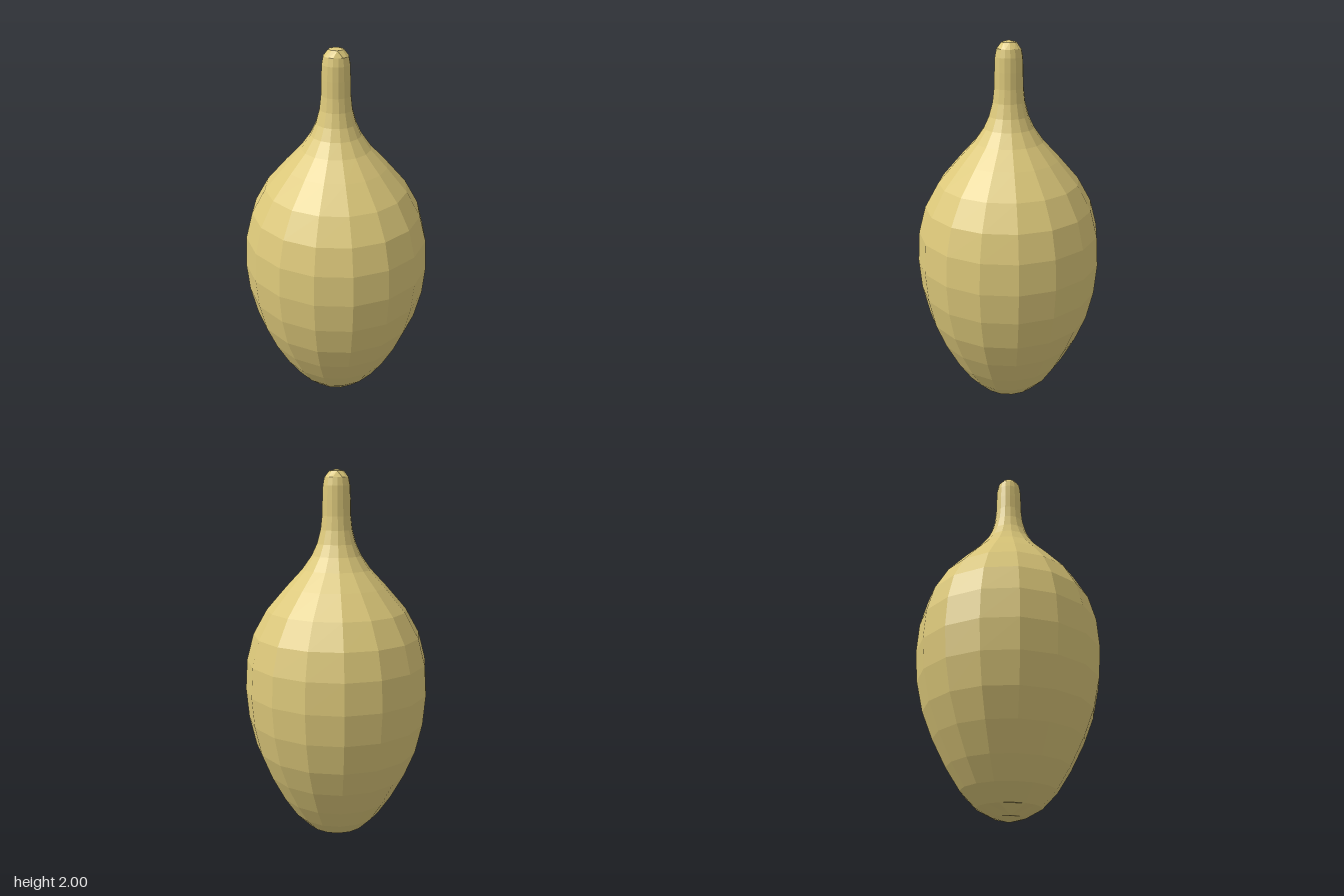
import * as THREE from 'three';

// [radius, height] of each ring, bottom to top
const RINGS = [
  [0.165, 0.07], [0.243, 0.15], [0.315, 0.26], [0.388, 0.4], [0.444, 0.54], [0.48, 0.7],
  [0.493, 0.86], [0.482, 1.02], [0.444, 1.16], [0.37, 1.29], [0.265, 1.41], [0.18, 1.5],
  [0.13, 1.57], [0.102, 1.63], [0.083, 1.7], [0.075, 1.77], [0.073, 1.85], [0.07, 1.92], [0.062, 1.96],
];
// Inner ring and centre of the two grid caps
const BOTTOM = [[0, 0.005], [0.083, 0.025], RINGS[0]];
const TOP = [[0, 2], [0.038, 1.99], RINGS[RINGS.length - 1]];
const DEPTH = 0.98; // slightly narrower front to back

// Wraps a subdivided box into a 16-sided teardrop with quad-grid ends
function teardropGeometry() {
  const rows = RINGS.length - 1;
  const box = new THREE.BoxGeometry(2, 2, 2, 4, rows, 4);
  const p = box.attributes.position;
  for (let i = 0; i < p.count; i++) {
    const x = p.getX(i), y = p.getY(i), z = p.getZ(i);
    const m = Math.max(Math.abs(x), Math.abs(z)); // square ring: 0, 0.5 or 1
    const level = Math.round(m * 2);
    const row = Math.round((y + 1) / 2 * rows);
    const [r, h] = level === 2 ? RINGS[row] : (y > 0 ? TOP : BOTTOM)[level];
    // Even angular steps along the square's sides
    let dx = 0, dz = 0;
    if (m > 0) {
      if (Math.abs(x) >= Math.abs(z)) {
        const a = (z / m) * Math.PI / 4;
        dx = Math.sign(x) * Math.cos(a);
        dz = Math.sin(a);
      } else {
        const a = (x / m) * Math.PI / 4;
        dx = Math.sin(a);
        dz = Math.sign(z) * Math.cos(a);
      }
    }
    p.setXYZ(i, dx * r, h, dz * r * DEPTH);
  }
  const faceted = box.toNonIndexed();
  faceted.clearGroups();
  faceted.computeVertexNormals();
  return faceted;
}

export function createModel() {
  const group = new THREE.Group();
  group.name = 'gourd';
  const skin = new THREE.MeshStandardMaterial({ color: 0xdcc87a, flatShading: true });
  skin.name = 'pale yellow';
  const body = new THREE.Mesh(teardropGeometry(), skin);
  body.name = 'bodyAndNeck';
  group.add(body);
  return group;
}
